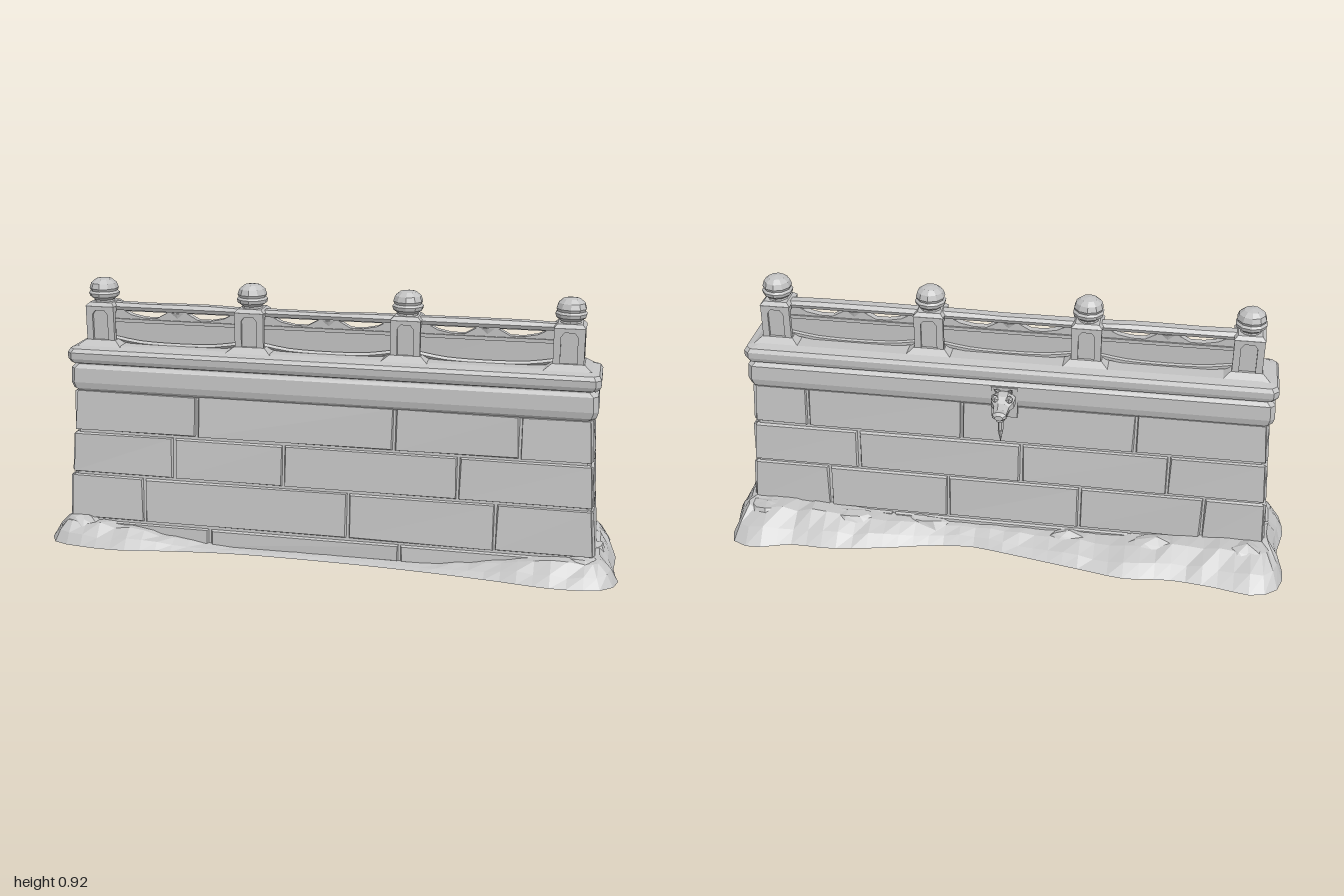
import * as THREE from 'three';

const stone = new THREE.MeshStandardMaterial({ color: 0xc2c2c2, flatShading: true, side: THREE.DoubleSide });
stone.name = 'grey stone';

let seed = 7;
const rnd = () => { seed = (seed * 16807) % 2147483647; return seed / 2147483647 - 0.5; };
const V = (x, y, z) => new THREE.Vector3(x, y, z);
const smooth = THREE.MathUtils.smoothstep;

function add(parent, name, geo, x = 0, y = 0, z = 0) {
  const m = new THREE.Mesh(geo, stone);
  m.name = name;
  m.position.set(x, y, z);
  parent.add(m);
  return m;
}

// Joins closed rings of points into a faceted skin
function loft(rings, capStart = false, capEnd = false) {
  const pos = [], n = rings[0].length;
  const tri = (a, b, c) => pos.push(...a, ...b, ...c);
  for (let r = 0; r < rings.length - 1; r++) {
    for (let i = 0; i < n; i++) {
      const j = (i + 1) % n, A = rings[r], B = rings[r + 1];
      tri(A[i], A[j], B[j]);
      tri(A[i], B[j], B[i]);
    }
  }
  for (let i = 1; i < n - 1; i++) {
    const S = rings[0], E = rings[rings.length - 1];
    if (capStart) tri(S[0], S[i + 1], S[i]);
    if (capEnd) tri(E[0], E[i], E[i + 1]);
  }
  const g = new THREE.BufferGeometry();
  g.setAttribute('position', new THREE.Float32BufferAttribute(pos, 3));
  g.computeVertexNormals();
  return g;
}

// Level rectangle with cut corners, counter-clockwise for outward faces
function slabRing([y, xh, zb, zf], c = 0.012) {
  return [[-xh + c, zf], [xh - c, zf], [xh, zf - c], [xh, zb + c],
    [xh - c, zb], [-xh + c, zb], [-xh, zb + c], [-xh, zf - c]].map(([x, z]) => V(x, y, z));
}

// Battered wall planes
const zFront = y => 0.182 - 0.1 * y;
const zBack = y => -0.1 + 0.095 * y;
const xHalf = y => 0.925 - 0.065 * y;

function wallPoint(face, u, y, out) {
  if (face === 'front' || face === 'back') {
    const lim = xHalf(y) + out * 0.5;
    const x = THREE.MathUtils.clamp(u, -lim, lim);
    return V(x, y, face === 'front' ? zFront(y) + out : zBack(y) - out);
  }
  const z = THREE.MathUtils.clamp(u, zBack(y) - out * 0.5, zFront(y) + out * 0.5);
  return V((face === 'left' ? 1 : -1) * (xHalf(y) + out), y, z);
}

// One bevelled facing block
function block(face, u0, u1, y0, y1) {
  const g = 0.003, b = 0.008;
  const corners = [[u0, y0, 1, 1], [u1, y0, -1, 1], [u1, y1, -1, -1], [u0, y1, 1, -1]];
  const base = corners.map(([u, y, a, c]) => wallPoint(face, u + a * g, y + c * g, -0.011));
  const top = corners.map(([u, y, a, c]) => {
    const yy = y + c * b;
    const end = face === 'front' || face === 'back' ? xHalf(yy) : 9;
    const uu = THREE.MathUtils.clamp(u, -end, end) + a * b + rnd() * 0.006;
    return wallPoint(face, uu, yy + rnd() * 0.004, 0.001 + rnd() * 0.004);
  });
  const rings = [base, top];
  if (face === 'back' || face === 'right') rings.forEach(r => r.reverse());
  return loft(rings, false, true);
}

function masonry(root) {
  const group = new THREE.Group();
  group.name = 'masonryWall';
  add(group, 'mortarCore', loft([0, 0.54].map(y =>
    slabRing([y, xHalf(y) - 0.008, zBack(y) + 0.008, zFront(y) - 0.008]))));
  const courses = [
    { y: [0.005, 0.072], front: [-0.4, 0.27], back: [-0.45, 0.4] },
    { y: [0.072, 0.237], front: [-0.64, 0.09, 0.59], back: [-0.7, -0.27, 0.2, 0.63] },
    { y: [0.237, 0.388], front: [-0.53, -0.14, 0.46], back: [-0.57, -0.06, 0.52] },
    { y: [0.388, 0.54], front: [-0.45, 0.24, 0.66], back: [-0.45, 0.15, 0.7] },
  ];
  for (const c of courses) {
    for (const face of ['front', 'back']) {
      const cuts = [-0.95, ...c[face], 0.95];
      for (let i = 0; i < cuts.length - 1; i++)
        add(group, face + 'Block', block(face, cuts[i], cuts[i + 1], ...c.y));
    }
    for (const face of ['left', 'right'])
      add(group, face + 'EndBlock', block(face, zBack(c.y[0]) + 0.01, zFront(c.y[0]) - 0.01, ...c.y));
  }
  root.add(group);
}

// Frame with a cut-top opening, laid on one face of a post
function postFrame(w, holeW) {
  const s = new THREE.Shape([[-w, 0.69], [w, 0.69], [w, 0.828], [-w, 0.828]].map(p => new THREE.Vector2(...p)));
  const h = holeW;
  s.holes.push(new THREE.Path([[-h, 0.708], [-h, 0.8], [-h * 0.6, 0.814], [h * 0.6, 0.814], [h, 0.8], [h, 0.708]]
    .map(p => new THREE.Vector2(...p))));
  return new THREE.ExtrudeGeometry(s, { depth: 0.01, bevelEnabled: false });
}

function post(root, x) {
  const g = new THREE.Group();
  g.name = 'post';
  g.position.set(x, 0, 0.045);
  add(g, 'postCore', new THREE.BoxGeometry(0.08, 0.14, 0.086), 0, 0.76, 0);
  for (let i = 0; i < 4; i++) {
    const endFace = i % 2;
    const f = add(g, 'postFrame', postFrame(endFace ? 0.053 : 0.05, endFace ? 0.035 : 0.027));
    f.rotation.y = i * Math.PI / 2;
    f.position.set(Math.sin(i * Math.PI / 2) * 0.04, 0, Math.cos(i * Math.PI / 2) * 0.043);
  }
  const square = (t, b, h) => new THREE.CylinderGeometry(t * Math.SQRT2, b * Math.SQRT2, h, 4).rotateY(Math.PI / 4);
  add(g, 'postFoot', square(0.053, 0.078, 0.018), 0, 0.702, 0);
  add(g, 'postCap', square(0.04, 0.052, 0.012), 0, 0.834, 0);
  // Carved bud finial
  const profile = [[0.036, 0.836], [0.034, 0.846], [0.05, 0.858], [0.053, 0.87], [0.046, 0.877],
    [0.05, 0.886], [0.044, 0.904], [0.028, 0.917], [0, 0.922]].map(p => new THREE.Vector2(...p));
  add(g, 'finial', new THREE.LatheGeometry(profile, 10));
  root.add(g);
}

// Pierced panel and rails between two posts
function railing(root, x) {
  const g = new THREE.Group();
  g.name = 'railing';
  g.position.set(x, 0, 0.045);
  const w = 0.225;
  const s = new THREE.Shape([[-w, 0.69], [w, 0.69], [w, 0.825], [-w, 0.825]].map(p => new THREE.Vector2(...p)));
  for (const m of [-1, 1])
    s.holes.push(new THREE.Path([[0.035, 0.808], [0.19, 0.808], [0.165, 0.795], [0.12, 0.786], [0.075, 0.786], [0.055, 0.797]]
      .map(([a, b]) => new THREE.Vector2(m * a, b))));
  add(g, 'piercedPanel', new THREE.ExtrudeGeometry(s, { depth: 0.024, bevelEnabled: false }), 0, 0, -0.012);
  add(g, 'topRail', loft([-w, -0.1, 0.02, 0.12, w].map(px => {
    const top = 0.836 + rnd() * 0.005;
    return [[0.812, 0.02], [0.825, 0.026], [top, 0.015], [top, -0.015], [0.825, -0.026], [0.812, -0.02]]
      .map(([y, z]) => V(px, y, z));
  })));
  add(g, 'middleRail', new THREE.BoxGeometry(2 * w, 0.012, 0.036), 0, 0.775, 0);
  // Sagging bottom moulding on both sides
  for (const m of [-1, 1]) {
    const curve = new THREE.CatmullRomCurve3([V(-w, 0.712, m * 0.014), V(-0.13, 0.698, m * 0.016),
      V(0.13, 0.698, m * 0.016), V(w, 0.712, m * 0.014)]);
    add(g, 'bottomMoulding', new THREE.TubeGeometry(curve, 10, 0.009, 5));
  }
  add(g, 'scrollBracket', new THREE.CylinderGeometry(0.04, 0.022, 0.026, 6), 0, 0.795, 0).scale.z = 0.45;
  root.add(g);
}

// Beast-head water spout on the back
function spout(root) {
  const g = new THREE.Group();
  g.name = 'waterSpout';
  add(g, 'spoutPlate', new THREE.BoxGeometry(0.09, 0.115, 0.025), 0, 0.555, -0.052);
  const ring = ([z, y, rx, ry]) => Array.from({ length: 8 }, (_, i) => {
    const a = (i + 0.5) * Math.PI / 4;
    return V(Math.cos(a) * rx, y + Math.sin(a) * ry, z);
  });
  const tube = list => loft(list.map(ring), true, true);
  add(g, 'head', tube([[-0.05, 0.567, 0.035, 0.03], [-0.08, 0.575, 0.045, 0.032], [-0.105, 0.573, 0.042, 0.031],
    [-0.125, 0.568, 0.028, 0.02], [-0.155, 0.565, 0.025, 0.015], [-0.175, 0.567, 0.026, 0.017], [-0.187, 0.566, 0.014, 0.01]]));
  add(g, 'lowerJaw', tube([[-0.07, 0.55, 0.03, 0.014], [-0.12, 0.542, 0.022, 0.01], [-0.165, 0.543, 0.014, 0.006]]));
  for (const m of [-1, 1]) {
    const horn = add(g, 'horn', new THREE.ConeGeometry(0.012, 0.05, 5), m * 0.025, 0.608, -0.078);
    horn.rotation.set(-0.8, 0, m * -0.3);
    add(g, 'brow', new THREE.IcosahedronGeometry(0.014), m * 0.024, 0.594, -0.108);
  }
  const drip = new THREE.CatmullRomCurve3([V(0, 0.548, -0.13), V(0, 0.53, -0.138), V(0, 0.495, -0.144)]);
  add(g, 'waterStream', new THREE.TubeGeometry(drip, 5, 0.009, 6));
  add(g, 'waterTip', new THREE.ConeGeometry(0.01, 0.05, 6).rotateX(Math.PI), 0, 0.472, -0.146);
  root.add(g);
}

// Uneven earth bank around the foot, open underneath
function bank(root) {
  const outline = [[-0.97, -0.24], [-0.9, -0.282], [-0.75, -0.26], [-0.6, -0.245], [-0.45, -0.26], [-0.3, -0.235],
    [0, -0.18], [0.1, -0.165], [0.25, -0.18], [0.4, -0.215], [0.6, -0.25], [0.75, -0.25], [0.88, -0.285], [0.96, -0.25],
    [0.97, -0.15], [0.99, -0.05], [0.985, 0.08], [1, 0.19], [0.95, 0.25], [0.8, 0.272], [0.6, 0.25], [0.4, 0.23],
    [0.1, 0.213], [-0.3, 0.212], [-0.55, 0.24], [-0.7, 0.265], [-0.85, 0.26], [-0.96, 0.23], [-0.995, 0.1], [-0.97, -0.05], [-0.99, -0.15]];
  const pts = new THREE.CatmullRomCurve3(outline.map(([x, z]) => V(x, 0, z)), true).getSpacedPoints(90).slice(0, 90);
  const rings = [[], [], [], []];
  for (const p of pts) {
    const ends = smooth(Math.abs(p.x), 0.3, 0.82), back = 1 - smooth(p.z, -0.1, 0.1);
    const h = 0.014 + 0.045 * back + ends * (0.058 - 0.025 * back);
    const inner = V(THREE.MathUtils.clamp(p.x, -0.9, 0.9), h, THREE.MathUtils.clamp(p.z, -0.075, 0.16));
    rings[0].push(p);
    [[0.25, 0.5], [0.6, 0.9]].forEach(([t, k], i) => {
      const q = p.clone().lerp(inner, t);
      q.y = h * (k + rnd() * 0.25);
      rings[i + 1].push(q);
    });
    rings[3].push(inner);
  }
  rings.forEach(r => r.reverse());
  add(root, 'earthBank', loft(rings));

  // Half-buried boulders: x, z, then radii
  const rocks = [[0.88, 0.165, 0.09, 0.09, 0.06], [-0.87, 0.165, 0.1, 0.1, 0.06], [0.92, 0.03, 0.05, 0.09, 0.07],
    [-0.92, 0.03, 0.05, 0.085, 0.07], [0.86, -0.13, 0.11, 0.105, 0.08], [-0.86, -0.13, 0.11, 0.105, 0.08],
    [0.56, -0.12, 0.16, 0.09, 0.065], [-0.55, -0.12, 0.17, 0.09, 0.065], [-0.24, -0.11, 0.12, 0.075, 0.05],
    [0.27, -0.1, 0.12, 0.075, 0.045], [0.66, 0.165, 0.14, 0.05, 0.05], [-0.68, 0.165, 0.12, 0.06, 0.05]];
  for (const [x, z, rx, ry, rz] of rocks) {
    const g = new THREE.SphereGeometry(1, 9, 3, rnd(), Math.PI * 2, 0, Math.PI / 2);
    const p = g.attributes.position;
    for (let i = 0; i < p.count; i++) {
      const k = 0.94 + 0.08 * Math.sin(p.getX(i) * 5 + x * 20) * Math.cos(p.getZ(i) * 4 + z * 9);
      p.setXYZ(i, p.getX(i) * rx * k, p.getY(i) * ry * k, p.getZ(i) * rz * k);
    }
    g.computeVertexNormals();
    add(root, 'boulder', g, x, 0, z);
  }
}

export function createModel() {
  const root = new THREE.Group();
  root.name = 'balustradedWall';
  masonry(root);
  // Upper band and cornice as stepped sections: y, half width, back z, front z
  add(root, 'upperBand', loft([[0.53, 0.886, -0.046, 0.125], [0.543, 0.9, -0.057, 0.136], [0.565, 0.906, -0.062, 0.141],
    [0.615, 0.903, -0.059, 0.138], [0.626, 0.892, -0.05, 0.13], [0.634, 0.888, -0.046, 0.128]].map(r => slabRing(r, 0.016))));
  add(root, 'cornice', loft([[0.63, 0.888, -0.046, 0.128], [0.636, 0.902, -0.06, 0.145], [0.65, 0.91, -0.065, 0.151],
    [0.672, 0.91, -0.066, 0.152], [0.685, 0.902, -0.058, 0.143], [0.695, 0.87, -0.03, 0.11]].map(r => slabRing(r, 0.018)), false, true));
  [-0.8, -0.267, 0.267, 0.8].forEach(x => post(root, x));
  [-0.5335, 0, 0.5335].forEach(x => railing(root, x));
  spout(root);
  bank(root);
  return root;
}
